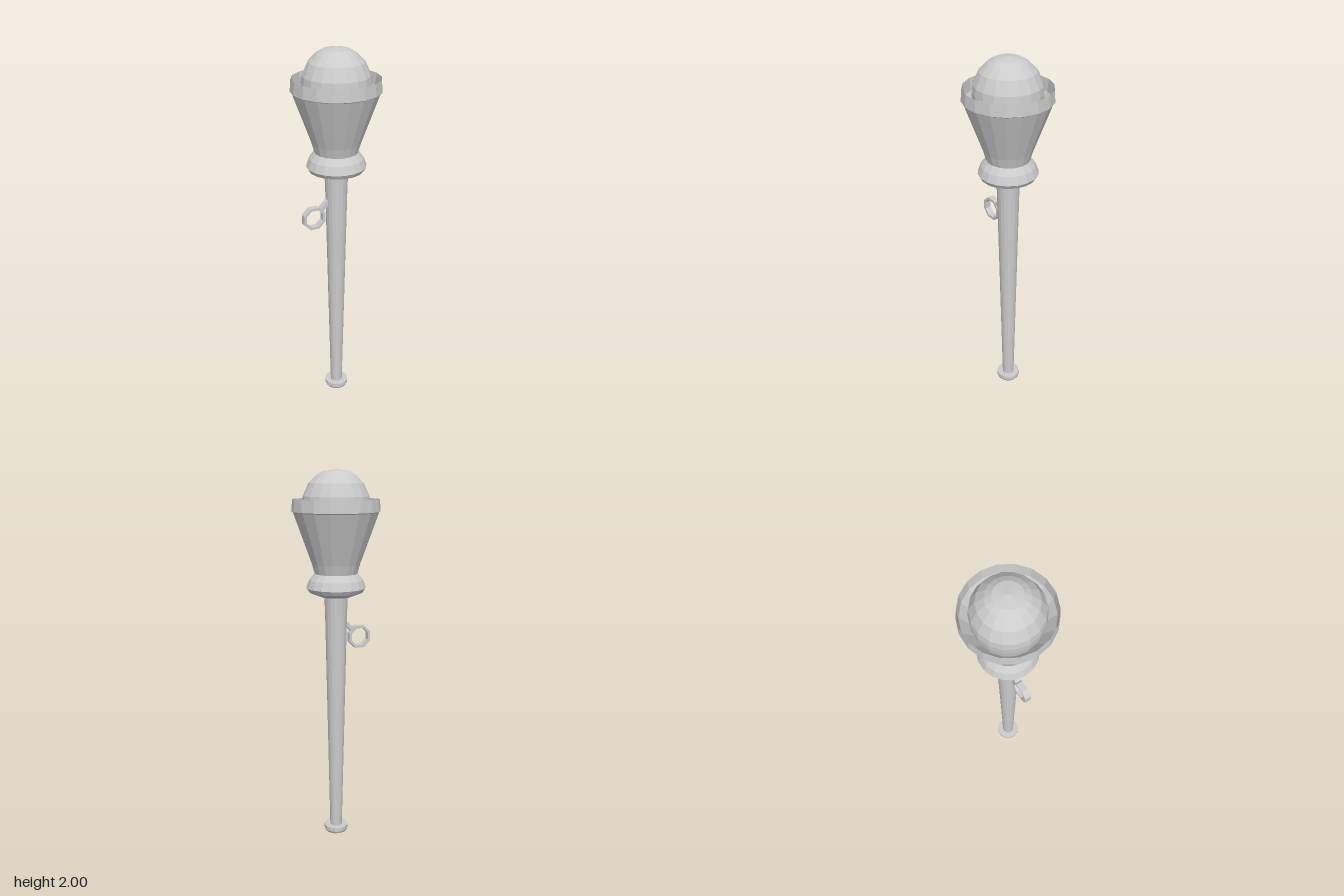
import * as THREE from 'three';

const SIDES = 18;

export function createModel() {
  const model = new THREE.Group();
  const material = new THREE.MeshStandardMaterial({ color: 0xcccccc, flatShading: true });

  const add = (name, geometry) => {
    const mesh = new THREE.Mesh(geometry, material);
    mesh.name = name;
    model.add(mesh);
    return mesh;
  };
  // Turned part: profile of [radius, height] from bottom to top
  const turned = (name, profile) => add(name, new THREE.LatheGeometry(
    profile.map(([r, y]) => new THREE.Vector2(r, y)), SIDES, Math.PI / 2));

  // Foot disc at the bottom of the handle
  turned('foot', [[0, 0], [0.059, 0], [0.066, 0.013], [0.066, 0.035], [0, 0.035]]);

  // Tapered handle
  turned('handle', [[0, 0.03], [0.033, 0.03], [0.058, 1.25], [0.062, 1.37], [0, 1.37]]);

  // Flared collar under the cup
  turned('collar', [[0, 1.355], [0.085, 1.355], [0.143, 1.378], [0.156, 1.4],
    [0.14, 1.442], [0.113, 1.475], [0, 1.475]]);

  // Hollow cup with a sloping inner wall
  turned('cup', [[0, 1.47], [0.112, 1.475], [0.126, 1.525], [0.22, 1.785], [0.228, 1.79],
    [0.223, 1.852], [0.216, 1.79], [0.15, 1.7], [0, 1.7]]);

  // Domed top seated in the cup
  turned('dome', [[0.155, 1.69], [0.172, 1.78], [0.175, 1.825], [0.17, 1.866], [0.14, 1.931],
    [0.1, 1.97], [0.068, 1.989], [0, 2]]);

  // Octagonal ring beside the handle
  const octagon = (shape, radius) => {
    shape.setFromPoints(Array.from({ length: 8 }, (_, i) => {
      const a = (i + 0.5) * Math.PI / 4;
      return new THREE.Vector2(radius * Math.cos(a), radius * Math.sin(a));
    }));
    return shape;
  };
  const outline = octagon(new THREE.Shape(), 0.065);
  outline.holes.push(octagon(new THREE.Path(), 0.05));
  const depth = 0.034;
  const ring = add('ring', new THREE.ExtrudeGeometry(outline, { depth, bevelEnabled: false })
    .translate(0, 0, -depth / 2));
  ring.position.set(-0.132, 1.127, 0);

  // Slanted stem joining the ring to the handle
  const stem = add('ringStem', new THREE.BoxGeometry(0.085, 0.022, 0.03));
  stem.position.set(-0.064, 1.195, 0);
  stem.rotation.z = Math.PI / 4;

  return model;
}
